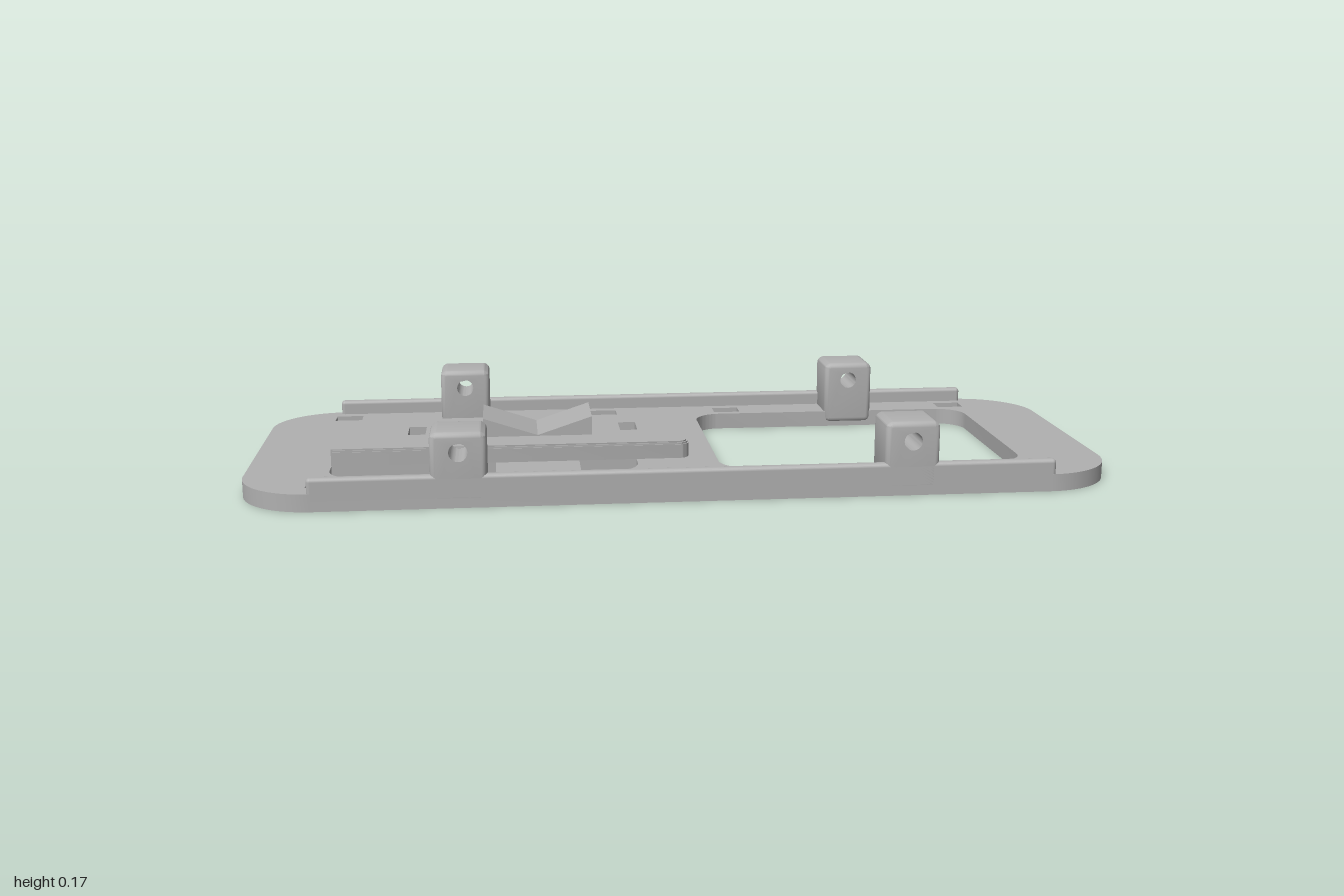
import * as THREE from 'three';
import { toCreasedNormals } from 'three/addons/utils/BufferGeometryUtils.js';
import { RoundedBoxGeometry } from 'three/addons/geometries/RoundedBoxGeometry.js';

// Trace a rectangle with one radius per corner: (x0,y0), (x1,y0), (x1,y1), (x0,y1)
function roundRect(path, x0, y0, x1, y1, [a, b, c, d]) {
  const H = Math.PI / 2;
  path.moveTo(x0 + a, y0);
  path.lineTo(x1 - b, y0);
  if (b) path.absarc(x1 - b, y0 + b, b, -H, 0);
  path.lineTo(x1, y1 - c);
  if (c) path.absarc(x1 - c, y1 - c, c, 0, H);
  path.lineTo(x0 + d, y1);
  if (d) path.absarc(x0 + d, y1 - d, d, H, 2 * H);
  path.lineTo(x0, y0 + a);
  if (a) path.absarc(x0 + a, y0 + a, a, 2 * H, 3 * H);
  return path;
}

const hole = (x0, z0, x1, z1, r = [0, 0, 0, 0]) => roundRect(new THREE.Path(), x0, z0, x1, z1, r);

// Lay a shape drawn in x,z flat, from height y0 to y1
function slab(shape, y0, y1) {
  const geo = new THREE.ExtrudeGeometry(shape, { depth: y1 - y0, bevelEnabled: false, curveSegments: 12 });
  geo.rotateX(Math.PI / 2).translate(0, y1, 0);
  return toCreasedNormals(geo, 0.6);
}

// Rounded post with a pin hole along z
function postGeometry() {
  const b = 0.013, half = 0.0625, top = 0.17, pinY = 0.125, pinR = 0.021;
  const shape = roundRect(new THREE.Shape(), -half + b, 0.01 + b, half - b, top - b, [0.004, 0.004, 0.004, 0.004]);
  const pin = new THREE.Path();
  pin.absarc(0, pinY, pinR + b, 0, Math.PI * 2, true);
  shape.holes.push(pin);
  const geo = new THREE.ExtrudeGeometry(shape, {
    depth: 0.125 - 2 * b, bevelSize: b, bevelThickness: b, bevelSegments: 4, curveSegments: 10,
  });
  geo.translate(0, 0, -0.0625 + b);
  // Keep the pin hole a straight cylinder
  const p = geo.attributes.position;
  for (let i = 0; i < p.count; i++) {
    const x = p.getX(i), y = p.getY(i) - pinY, r = Math.hypot(x, y);
    if (r < pinR + b + 0.0005) p.setXY(i, (x / r) * pinR, pinY + (y / r) * pinR);
  }
  return toCreasedNormals(geo, 0.6);
}

export function createModel() {
  const model = new THREE.Group();
  model.name = 'mountingPlate';
  const grey = new THREE.MeshStandardMaterial({ color: 0xb0b0b0 });
  grey.name = 'plain grey';
  const add = (name, geo, x = 0, y = 0, z = 0) => {
    const mesh = new THREE.Mesh(geo, grey);
    mesh.name = name;
    mesh.position.set(x, y, z);
    model.add(mesh);
  };

  // Base plate with its windows and slots
  const R = 0.17, r = 0.07;
  const base = roundRect(new THREE.Shape(), -1, -0.41, 1, 0.41, [R, R, R, R]);
  const pinSlots = () => [-0.62, -0.108].map((x) => hole(x - 0.021, -0.043, x + 0.021, 0.04));
  base.holes.push(
    hole(0.09, -0.29, 0.81, 0.28, [r, r, r, r]),
    hole(-0.81, -0.29, -0.1, -0.137, [r, r, 0, 0]),
    hole(-0.81, 0.172, -0.43, 0.28, [0, 0, 0, r]),
    hole(-0.235, 0.172, -0.1, 0.28, [0, 0, r, 0]),
    ...pinSlots(),
  );
  for (const x of [-0.815, -0.147, 0.182, 0.794])
    for (const z of [-0.335, 0.327]) base.holes.push(hole(x - 0.034, z - 0.025, x + 0.034, z + 0.025));
  add('basePlate', slab(base, 0, 0.04));

  // Raised platform, with a softened top edge made of a few thin steps
  const platform = (inset) => {
    const s = roundRect(new THREE.Shape(), -0.81, -0.137 + inset, 0.026 - inset, 0.172 - inset, [0, 0.025, 0.025, 0]);
    s.holes.push(...pinSlots());
    return s;
  };
  add('platform', slab(platform(0), 0.04, 0.073));
  add('platformEdge', slab(platform(0.002), 0.073, 0.077));
  add('platformTop', slab(platform(0.005), 0.077, 0.08));

  // Rocker with a V-shaped top
  const rocker = new THREE.Shape();
  rocker.moveTo(-0.46, 0.075);
  rocker.lineTo(-0.2, 0.075);
  rocker.lineTo(-0.2, 0.125);
  rocker.lineTo(-0.33, 0.082);
  rocker.lineTo(-0.46, 0.125);
  add('rocker', new THREE.ExtrudeGeometry(rocker, { depth: 0.16, bevelEnabled: false }), 0, 0, -0.08);

  // Side rails and posts
  const rail = new RoundedBoxGeometry(1.68, 0.06, 0.024, 3, 0.009);
  const post = postGeometry();
  for (const side of [-1, 1]) {
    add(side > 0 ? 'frontRail' : 'backRail', rail, 0, 0.045, side * 0.398);
    for (const x of [-0.51, 0.505]) add(side > 0 ? 'frontPost' : 'backPost', post, x, 0, side * 0.3475);
  }

  // Low ridge beside the front rail
  add('frontRidge', new THREE.BoxGeometry(1.56, 0.008, 0.025), 0, 0.04, 0.3645);
  return model;
}
